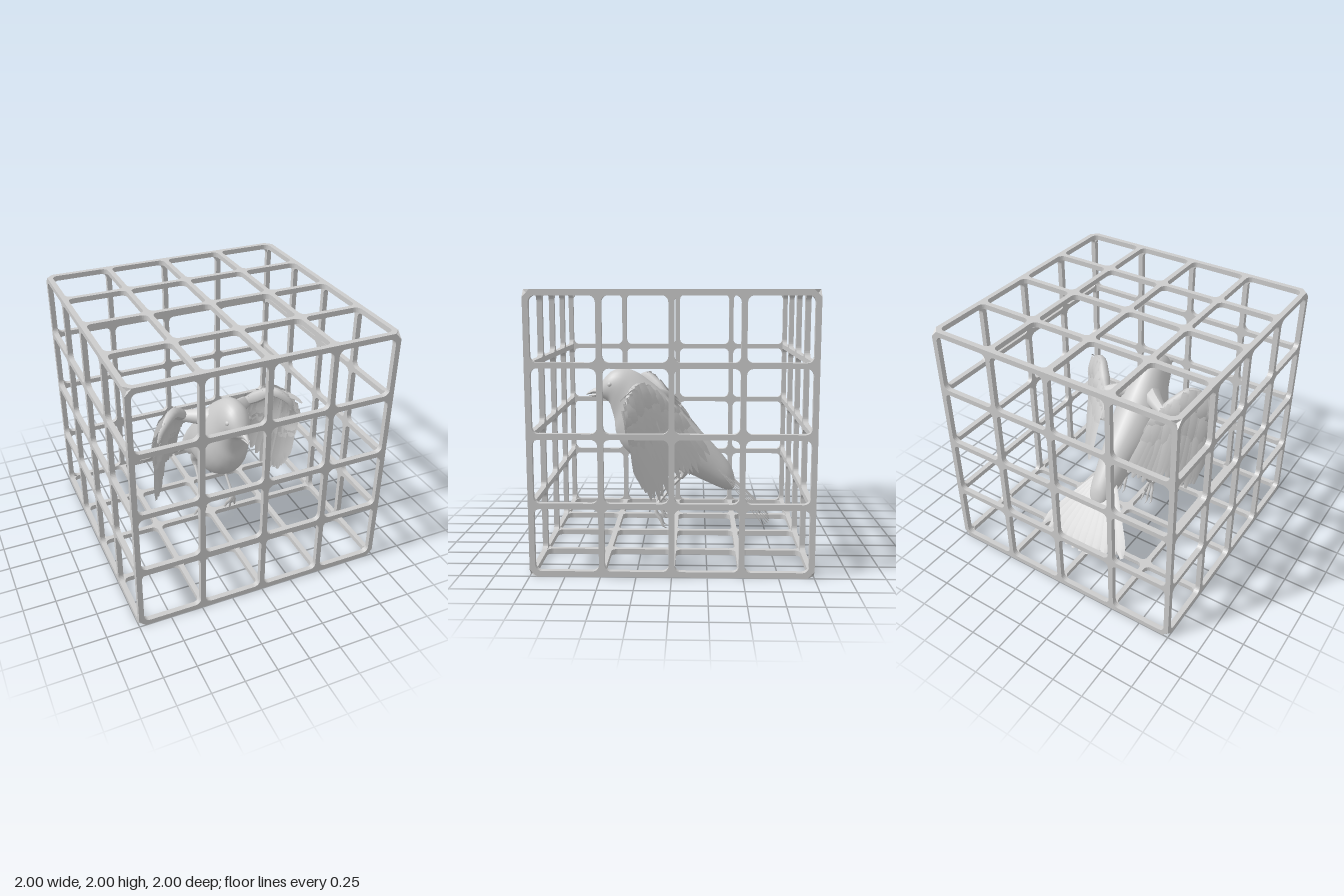
import * as THREE from 'three';
import { mergeGeometries } from 'three/addons/utils/BufferGeometryUtils.js';

const V = (x, y, z) => new THREE.Vector3(x, y, z);
const solid = new THREE.MeshStandardMaterial({ color: 0xcccccc });
const thin = new THREE.MeshStandardMaterial({ color: 0xcccccc, side: THREE.DoubleSide });
const curveOf = (list, s = 1) => new THREE.CatmullRomCurve3(list.map(p => V(p[0] * s, p[1], p[2])));

function add(group, name, geometry, material = solid) {
  const mesh = new THREE.Mesh(geometry, material);
  mesh.name = name;
  group.add(mesh);
  return mesh;
}

// Tube whose radius follows a list of values along its path
function taperedTube(points, radii, s = 1, seg = 16, sides = 8) {
  const curve = curveOf(points, s);
  const geo = new THREE.TubeGeometry(curve, seg, 1, sides);
  const pos = geo.attributes.position, v = V(0, 0, 0);
  for (let i = 0; i < pos.count; i++) {
    const t = Math.floor(i / (sides + 1)) / seg;
    const f = t * (radii.length - 1), k = Math.min(Math.floor(f), radii.length - 2);
    const r = THREE.MathUtils.lerp(radii[k], radii[k + 1], f - k);
    const c = curve.getPointAt(t);
    v.fromBufferAttribute(pos, i).sub(c).multiplyScalar(r).add(c);
    pos.setXYZ(i, v.x, v.y, v.z);
  }
  geo.computeVertexNormals();
  return geo;
}

// Thin blade with a raised quill and rounded tip
function feather(base, tip, side, lift, w0, w1, bow = 0.02) {
  const geo = new THREE.PlaneGeometry(1, 1, 2, 8);
  const pos = geo.attributes.position;
  for (let i = 0; i < pos.count; i++) {
    const t = 0.5 - pos.getY(i), u = pos.getX(i) * 2;
    const round = t > 0.8 ? Math.sqrt(Math.max(0.06, 1 - ((t - 0.8) / 0.2) ** 2)) : 1;
    const w = THREE.MathUtils.lerp(w0, w1, Math.min(1, t * 1.3)) * round;
    const p = base.clone().lerp(tip, t).addScaledVector(side, u * w)
      .addScaledVector(lift, bow * Math.sin(Math.PI * t) + (u === 0 ? 0.005 : 0) + u * 0.004);
    pos.setXYZ(i, p.x, p.y, p.z);
  }
  geo.computeVertexNormals();
  return geo;
}

// Six plates with a 4 x 4 grid of rounded openings
function makeCage() {
  const cage = new THREE.Group();
  cage.name = 'cage';
  const c = 0.95, plate = new THREE.Shape();
  [[1, -c], [1, c], [c, 1], [-c, 1], [-1, c], [-1, -c], [-c, -1], [c, -1]]
    .forEach(([x, y], i) => (i ? plate.lineTo(x, y) : plate.moveTo(x, y)));
  const h = 0.225, r = 0.045, q = Math.PI / 2;
  for (const x of [-0.735, -0.245, 0.245, 0.735]) for (const y of [-0.735, -0.245, 0.245, 0.735]) {
    const hole = new THREE.Path();
    [[1, 1], [-1, 1], [-1, -1], [1, -1]].forEach(([a, b], i) =>
      hole.absarc(x + a * (h - r), y + b * (h - r), r, i * q, (i + 1) * q));
    hole.closePath();
    plate.holes.push(hole);
  }
  const geo = new THREE.ExtrudeGeometry(plate, { depth: 0.04, bevelEnabled: false, curveSegments: 3 });
  geo.translate(0, 0, 0.96);
  const turns = { front: [0, 0], left: [0, q], back: [0, 2 * q], right: [0, -q], top: [-q, 0], bottom: [q, 0] };
  for (const [name, [rx, ry]] of Object.entries(turns))
    add(cage, name + 'Grille', geo).rotation.set(rx, ry, 0);
  cage.position.y = 1;
  return cage;
}

// Body from oval rings: top z, top y, bottom z, bottom y, half width
function bodyGeometry() {
  const rings = [
    [0.635, 1.2, 0.63, 1.165, 0.015], [0.61, 1.235, 0.6, 1.145, 0.045], [0.56, 1.31, 0.56, 1.125, 0.078],
    [0.5, 1.36, 0.53, 1.1, 0.1], [0.42, 1.38, 0.51, 1.04, 0.115], [0.32, 1.355, 0.49, 0.96, 0.13],
    [0.2, 1.275, 0.48, 0.86, 0.165], [0.1, 1.19, 0.42, 0.74, 0.2], [0, 1.08, 0.28, 0.62, 0.205],
    [-0.1, 0.98, 0.1, 0.57, 0.18], [-0.22, 0.86, -0.06, 0.54, 0.145], [-0.35, 0.72, -0.24, 0.46, 0.115],
    [-0.45, 0.59, -0.42, 0.385, 0.085], [-0.48, 0.51, -0.47, 0.39, 0.05], [-0.49, 0.45, -0.49, 0.43, 0.01]];
  const top = curveOf(rings.map(r => [r[4], r[1], r[0]]));
  const low = curveOf(rings.map(r => [r[4], r[3], r[2]]));
  const N = 56, M = 28, pos = [], idx = [];
  for (let i = 0; i <= N; i++) {
    const a = top.getPoint(i / N), b = low.getPoint(i / N);
    for (let j = 0; j < M; j++) {
      const ang = (j / M) * Math.PI * 2, k = (1 + Math.cos(ang)) / 2;
      pos.push(a.x * Math.sin(ang), b.y + (a.y - b.y) * k, b.z + (a.z - b.z) * k);
      if (i < N) {
        const p = i * M + j, n = i * M + (j + 1) % M;
        idx.push(p, n, p + M, n, n + M, p + M);
      }
    }
  }
  const geo = new THREE.BufferGeometry();
  geo.setAttribute('position', new THREE.Float32BufferAttribute(pos, 3));
  geo.setIndex(idx);
  geo.computeVertexNormals();
  return geo;
}

// Fanned tail feathers on a plane sloping down and back
function tailGeometry() {
  const blades = [], lift = V(0, 0.7, -0.7);
  for (let i = 0; i < 12; i++) {
    const t = (i - 5.5) / 5.5, edge = t * t;
    const layer = 0.012 * (1 - Math.abs(t));
    const base = V(t * 0.06, 0.62 + layer, -0.3);
    const tip = V(t * 0.385, 0.155 + edge * 0.045 + layer, -0.77 + edge * 0.085);
    const side = V(1, t * 0.4, t * 0.4).normalize();
    blades.push(feather(base, tip, side, lift, 0.018, 0.044, 0.008));
  }
  return mergeGeometries(blades);
}

function makeWing(s) {
  const wing = new THREE.Group();
  wing.name = s > 0 ? 'leftWing' : 'rightWing';
  // Arm folded at elbow and wrist
  add(wing, 'upperArm', taperedTube([[0.06, 1.14, 0.24], [0.16, 1.135, 0.16], [0.28, 1.125, 0.08]], [0.09, 0.065, 0.045], s));
  add(wing, 'forearm', taperedTube([[0.25, 1.11, 0.07], [0.34, 1.2, 0.16], [0.43, 1.27, 0.26], [0.53, 1.2, 0.33], [0.57, 1.1, 0.34]],
    [0.03, 0.05, 0.042, 0.03, 0.012], s));
  add(wing, 'thumbFeather', feather(V(0.46 * s, 1.27, 0.28), V(0.615 * s, 1.195, 0.385), V(0, 0.7, -0.7), V(s, 0.4, 0).normalize(), 0.025, 0.016), thin);
  // Rows of feathers run from the arm line to the wing edge
  const root = curveOf([[0.24, 1.12, 0.07], [0.33, 1.21, 0.15], [0.43, 1.3, 0.26], [0.52, 1.24, 0.32], [0.57, 1.12, 0.35]], s);
  const edge = curveOf([[0.18, 0.7, -0.29], [0.27, 0.58, -0.18], [0.38, 0.58, -0.07], [0.47, 0.43, 0.06], [0.54, 0.43, 0.16], [0.565, 0.58, 0.26]], s);
  const row = (name, count, reach, lay, w0, w1) => {
    const blades = [];
    for (let i = 0; i < count; i++) {
      const t = i / (count - 1);
      const base = root.getPoint(t);
      const tip = base.clone().lerp(edge.getPoint(t), reach * (i % 2 ? 1 : 0.97));
      const dir = tip.clone().sub(base).normalize();
      const side = edge.getTangent(t).multiplyScalar(0.5).add(root.getTangent(t).multiplyScalar(0.5));
      side.addScaledVector(dir, -side.dot(dir)).normalize();
      const lift = side.clone().cross(dir).normalize();
      if (lift.x * s < 0) lift.negate();
      const shift = lay + 0.006 * (i % 2);
      base.addScaledVector(lift, shift);
      tip.addScaledVector(lift, shift * 0.6);
      blades.push(feather(base, tip, side, lift, w0, w1));
    }
    add(wing, name, mergeGeometries(blades), thin);
  };
  row('flightFeathers', 17, 1, 0, 0.026, 0.036);
  row('outerCoverts', 13, 0.55, 0.018, 0.03, 0.04);
  row('shoulderCoverts', 11, 0.28, 0.032, 0.03, 0.045);
  row('innerCoverts', 11, 0.4, -0.02, 0.03, 0.04);
  return wing;
}

function makeLeg(s) {
  const leg = new THREE.Group();
  leg.name = s > 0 ? 'leftLeg' : 'rightLeg';
  add(leg, 'thigh', taperedTube([[0.1, 0.66, -0.04], [0.11, 0.57, -0.08], [0.115, 0.5, -0.05]], [0.06, 0.04, 0.012], s));
  add(leg, 'shank', taperedTube([[0.115, 0.53, -0.065], [0.12, 0.45, 0.01], [0.13, 0.36, 0.085], [0.135, 0.28, 0.15]], [0.015, 0.011, 0.011, 0.017], s));
  // Three hanging toes and one curled hind toe
  for (const d of [-1, 0, 1])
    add(leg, 'frontToe', taperedTube([[0.135, 0.28, 0.15], [0.135 + d * 0.022, 0.23, 0.15], [0.137 + d * 0.035, 0.17, 0.11],
      [0.14 + d * 0.045, 0.125 - (d ? 0 : 0.015), 0.09], [0.14 + d * 0.045, 0.11 - (d ? 0 : 0.015), 0.055]], [0.014, 0.012, 0.013, 0.01, 0.001], s, 16, 6));
  add(leg, 'hindToe', taperedTube([[0.135, 0.28, 0.15], [0.132, 0.275, 0.1], [0.13, 0.25, 0.07], [0.13, 0.205, 0.085]], [0.014, 0.012, 0.011, 0.001], s, 12, 6));
  return leg;
}

export function createModel() {
  const model = new THREE.Group();
  model.name = 'cagedBird';
  model.add(makeCage());
  const bird = new THREE.Group();
  bird.name = 'bird';
  add(bird, 'body', bodyGeometry());
  add(bird, 'tail', tailGeometry(), thin);
  // Slightly parted beak
  add(bird, 'upperBeak', taperedTube([[0, 1.195, 0.59], [0, 1.19, 0.66], [0, 1.165, 0.72]], [0.04, 0.021, 0.002]));
  add(bird, 'lowerBeak', taperedTube([[0, 1.165, 0.59], [0, 1.16, 0.65], [0, 1.155, 0.695]], [0.028, 0.015, 0.002]));
  for (const s of [1, -1]) {
    const eye = add(bird, s > 0 ? 'leftEye' : 'rightEye', new THREE.SphereGeometry(0.022, 14, 10));
    eye.position.set(s * 0.083, 1.255, 0.515);
    bird.add(makeWing(s), makeLeg(s));
  }
  model.add(bird);
  return model;
}
